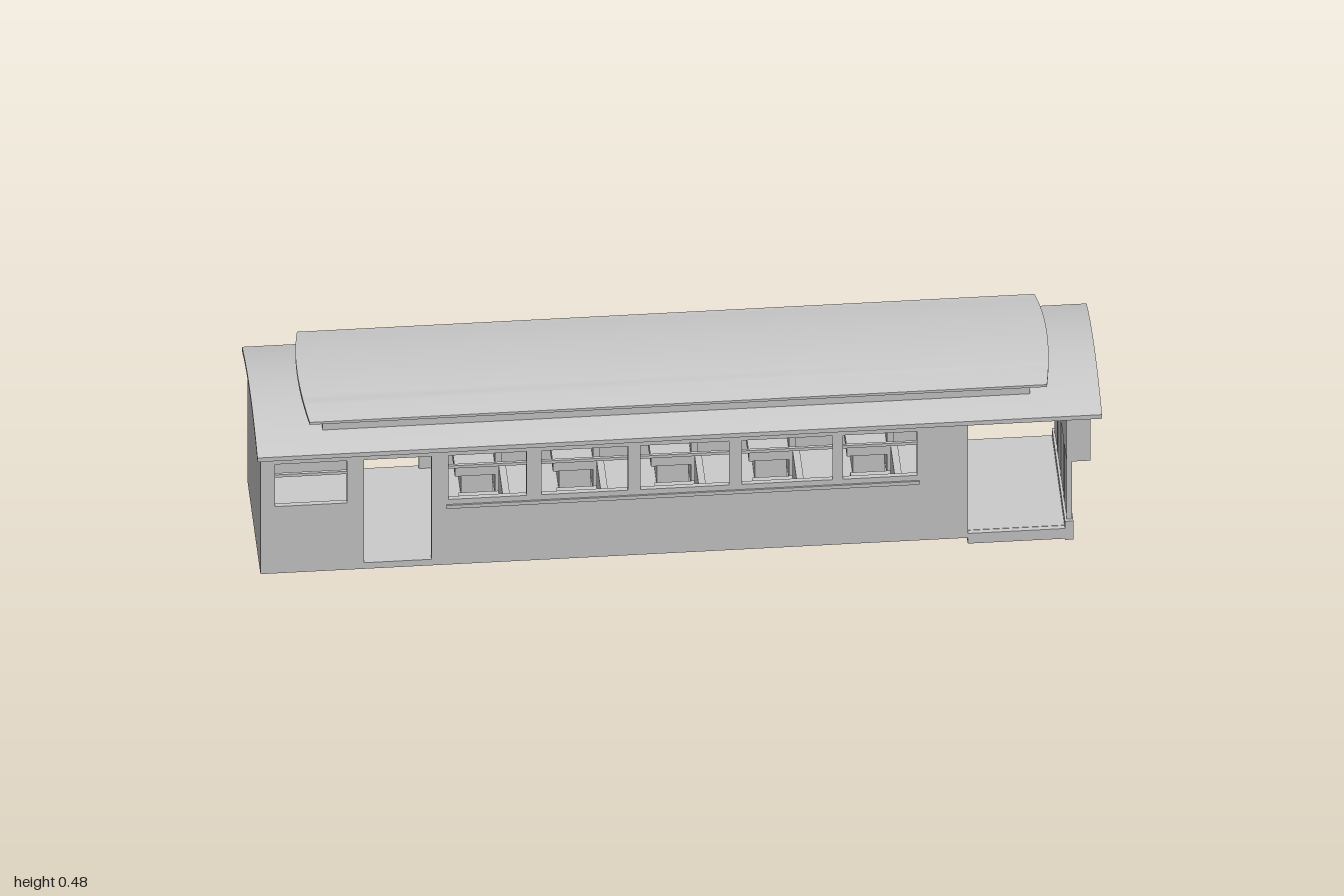
import * as THREE from 'three';
import { toCreasedNormals } from 'three/addons/utils/BufferGeometryUtils.js';

const mat = new THREE.MeshStandardMaterial({ color: 0xcccccc, side: THREE.DoubleSide });

export function createModel() {
  const root = new THREE.Group();
  root.name = 'railCoach';

  const add = (name, geo, parent = root) => {
    const m = new THREE.Mesh(geo, mat);
    m.name = name;
    parent.add(m);
    return m;
  };
  // box given by its limits
  const box = (name, x0, x1, y0, y1, z0, z1, parent) => {
    const m = add(name, new THREE.BoxGeometry(x1 - x0, y1 - y0, z1 - z0), parent);
    m.position.set((x0 + x1) / 2, (y0 + y1) / 2, (z0 + z1) / 2);
    return m;
  };
  const group = (name) => {
    const g = new THREE.Group();
    g.name = name;
    root.add(g);
    return g;
  };
  const rectPath = (P, [a0, a1, b0, b1]) => {
    const p = new P();
    p.moveTo(a0, b0).lineTo(a1, b0).lineTo(a1, b1).lineTo(a0, b1).closePath();
    return p;
  };
  // extrude a (z, y) outline along x from x0 to x1
  const alongX = (shape, x0, x1) => {
    const g = new THREE.ExtrudeGeometry(shape, { depth: x1 - x0, bevelEnabled: false });
    g.rotateY(Math.PI / 2);
    g.translate(x0, 0, 0);
    return g;
  };

  const roofTop = (z) => 0.431 - 0.038 * (z / 0.217) ** 2;
  const roofUnder = (z) => roofTop(z) - 0.012;
  const upperTop = (z) => 0.478 - 0.018 * (z / 0.177) ** 2;
  const upperUnder = (z) => 0.465 - 0.012 * (z / 0.177) ** 2;
  const N = 20;
  const arc = (f, w, dir = 1) => Array.from({ length: N + 1 }, (_, i) => {
    const z = dir * w * (2 * i / N - 1);
    return new THREE.Vector2(z, f(z));
  });
  const shell = (top, under, w) => new THREE.Shape([...arc(under, w), ...arc(top, w, -1)]);
  // wall outline with a flat foot and a head that follows the roof
  const arched = (y0, w) => new THREE.Shape([
    new THREE.Vector2(-w, y0), new THREE.Vector2(w, y0), ...arc(roofUnder, w, -1)]);

  // roofs and clerestory
  add('mainRoof', toCreasedNormals(alongX(shell(roofTop, roofUnder, 0.217), -1, 1), 0.5));
  box('clerestory', -0.84, 0.835, 0.412, 0.458, -0.148, 0.148);
  const upper = alongX(shell(upperTop, upperUnder, 0.177), -0.888, 0.888);
  const pos = upper.attributes.position;
  for (let i = 0; i < pos.count; i++) {
    const x = pos.getX(i), z = pos.getZ(i);
    pos.setX(i, x - Math.sign(x) * 0.015 * (z / 0.177) ** 2); // bowed ends
  }
  add('clerestoryRoof', toCreasedNormals(upper, 0.5));

  // side walls with window and door openings
  const endWindow = [-0.955, -0.785, 0.22, 0.345];
  const door = [-0.745, -0.585, 0.04, 0.345];
  const bays = [[-0.545, -0.36], [-0.325, -0.12], [-0.09, 0.12], [0.15, 0.365], [0.39, 0.565]];
  const sideWall = (name, holes, z0) => {
    const s = rectPath(THREE.Shape, [-0.99, 0.685, 0.022, 0.395]);
    s.holes = holes.map((h) => rectPath(THREE.Path, h));
    const g = new THREE.ExtrudeGeometry(s, { depth: 0.012, bevelEnabled: false });
    g.translate(0, 0, z0);
    add(name, g);
  };
  sideWall('frontSideWall', [endWindow, door, ...bays.map(([a, b]) => [a, b, 0.215, 0.345])], 0.171);
  sideWall('backSideWall', [endWindow, door, [-0.545, 0.565, 0.215, 0.345]], -0.183);
  box('frontSill', -0.55, 0.57, 0.19, 0.2, 0.18, 0.187);
  box('backSill', -0.55, 0.57, 0.19, 0.2, -0.187, -0.18);

  // sash rails
  const sashes = group('windowSashes');
  for (const [a, b] of [...bays, [endWindow[0], endWindow[1]]])
    box('sashRail', a, b, 0.303, 0.311, 0.172, 0.179, sashes);
  box('backSashRail', endWindow[0], endWindow[1], 0.303, 0.311, -0.179, -0.172, sashes);

  // floor and end walls
  box('floor', -0.988, 0.685, 0.022, 0.04, -0.182, 0.182);
  add('closedEndWall', alongX(arched(0.022, 0.183), -0.99, -0.978));
  const bulkhead = arched(0.03, 0.183);
  bulkhead.holes = [[-0.055, 0.055, 0.042, 0.345], [-0.15, -0.085, 0.215, 0.345], [0.085, 0.15, 0.215, 0.345]]
    .map((h) => rectPath(THREE.Path, h));
  add('platformBulkhead', alongX(bulkhead, 0.673, 0.685));

  // seats: five rows on both sides of the aisle
  for (let row = 0; row < 5; row++) {
    for (const side of [-1, 1]) {
      const seat = group('seat');
      seat.position.set(-0.46 + row * 0.232, 0, side * 0.108);
      box('seatBase', -0.035, 0.04, 0.04, 0.105, -0.05, 0.05, seat);
      box('seatCushion', -0.05, 0.045, 0.105, 0.13, -0.06, 0.06, seat);
      box('seatBack', 0.045, 0.062, 0.04, 0.208, -0.06, 0.06, seat);
    }
  }

  // entrance platform
  const platform = group('platform');
  box('platformFloor', 0.685, 0.92, 0.018, 0.035, -0.17, 0.17, platform);
  for (const s of [-1, 1]) {
    const step = box('sideStep', 0.685, 0.92, 0.004, 0.034, -0.008, 0.008, platform);
    step.position.z = s * 0.174;
  }
  box('innerBeam', 0.685, 0.7, 0.002, 0.034, -0.17, 0.17, platform);
  box('endBeam', 0.915, 0.935, 0, 0.055, -0.182, 0.182, platform);

  // lower apron of the platform end, with four panels
  const end = group('platformEnd');
  const posts = [-0.167, -0.09, 0, 0.09, 0.167];
  box('lowerPanel', 0.921, 0.927, 0.05, 0.23, -0.168, 0.168, end);
  for (const z of posts) box('lowerPost', 0.92, 0.933, 0.05, 0.23, z - 0.006, z + 0.006, end);

  // overhanging upper casing, with four panels
  add('upperPanel', alongX(arched(0.228, 0.17), 0.964, 0.971), end);
  add('upperInnerPanel', alongX(arched(0.228, 0.17), 0.92, 0.926), end);
  box('casingBottom', 0.92, 0.976, 0.224, 0.232, -0.172, 0.172, end);
  for (const s of [-1, 1]) {
    const cheek = box('casingCheek', 0.92, 0.974, 0.228, 0.4, -0.003, 0.003, end);
    cheek.position.z = s * 0.17;
  }
  for (const z of posts)
    box('upperPost', 0.966, 0.976, 0.228, roofUnder(z) + 0.004, z - 0.006, z + 0.006, end);

  return root;
}
